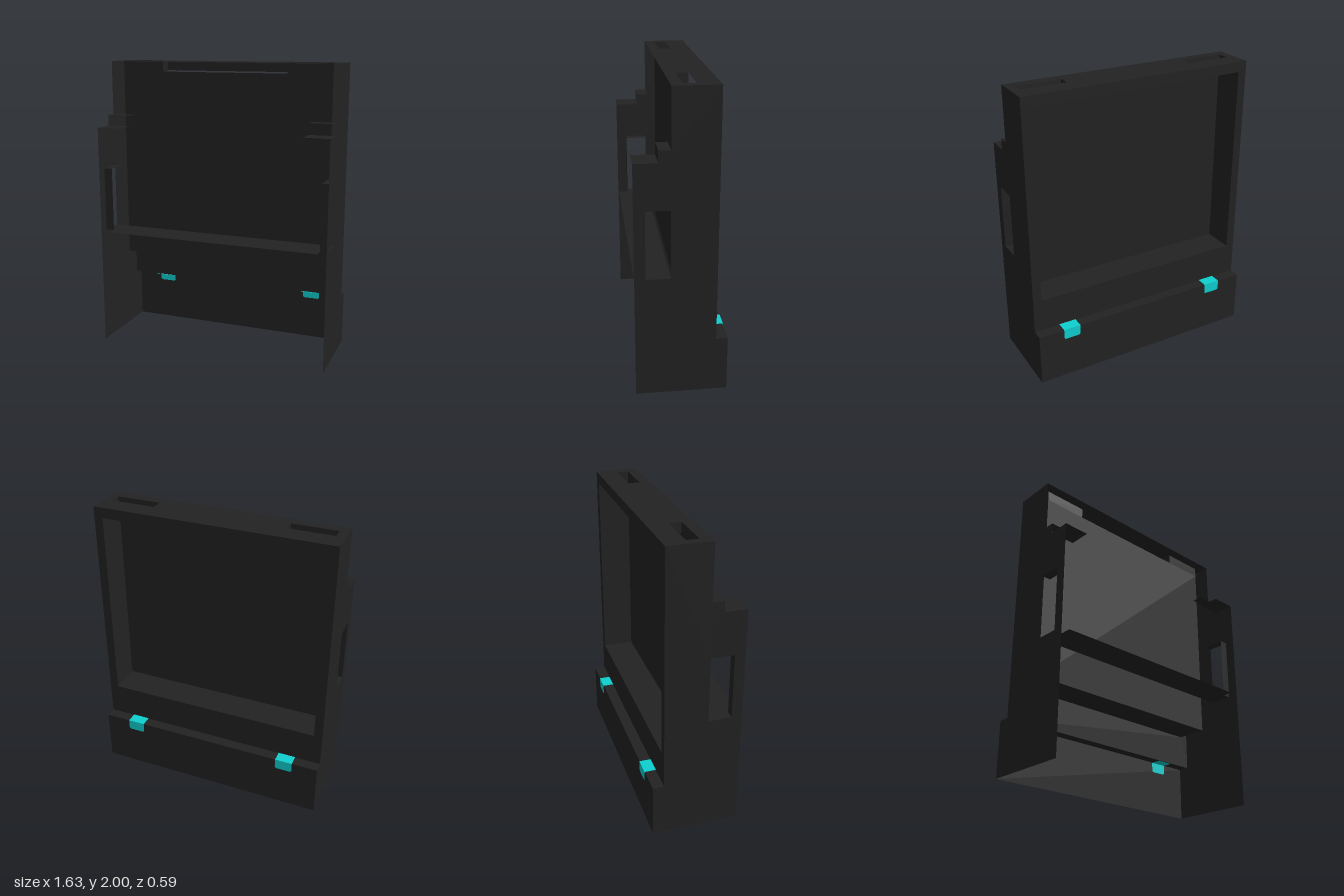
import * as THREE from 'three';

const shell = new THREE.MeshStandardMaterial({ color: 0x222222, side: THREE.DoubleSide });
shell.name = 'charcoal shell';
const accent = new THREE.MeshStandardMaterial({ color: 0x0fd0d0, side: THREE.DoubleSide });
accent.name = 'cyan clip';

const W = 0.815;  // half width of the shell
const R = 0.755;  // half width of the recess

// Closed outline from [a, b] points
const outline = (pts, Type = THREE.Shape) => new Type(pts.map(p => new THREE.Vector2(...p)));
const rect = (a0, a1, b0, b1, Type) => outline([[a0, b0], [a1, b0], [a1, b1], [a0, b1]], Type);

export function createModel() {
  const model = new THREE.Group();
  model.name = 'bezelShell';

  // Adds a flat sheet lying across the given axis at position "at".
  // Sheet coordinates: x axis -> (z, y), y axis -> (x, z), z axis -> (x, y)
  function sheet(name, axis, at, shape, material = shell, holes = []) {
    shape.holes.push(...holes);
    const geo = new THREE.ShapeGeometry(shape);
    if (axis === 'x') geo.rotateY(-Math.PI / 2);
    if (axis === 'y') geo.rotateX(Math.PI / 2);
    const mesh = new THREE.Mesh(geo, material);
    mesh.position[axis] = at;
    mesh.name = name;
    model.add(mesh);
  }

  // Top plate with two slots
  sheet('topPlate', 'y', 2, rect(-W, W, -0.22, 0.07), shell, [
    rect(-R, -0.45, -0.08, 0, THREE.Path), rect(0.45, R, -0.08, 0, THREE.Path)]);

  // Back frame around the recess, and the recessed panel
  sheet('backFrame', 'z', -0.22, rect(-W, W, 0.37, 2), shell, [rect(-R, R, 0.6, 1.93, THREE.Path)]);
  sheet('recessPanel', 'z', 0, rect(-R, R, 0.6, 1.93));
  sheet('recessFloor', 'y', 0.6, rect(-R, R, -0.22, 0));

  // Deeper skirt at the bottom of the back
  sheet('skirtLedge', 'y', 0.37, rect(-W, W, -0.295, -0.22));
  sheet('skirtBack', 'z', -0.295, rect(-W, W, 0, 0.37));

  // Shelf across the front
  sheet('frontShelf', 'y', 0.815, rect(-R, R, 0.07, 0.295));

  for (const [side, s] of [['left', 1], ['right', -1]]) {
    // Stepped side wall with a tall handle opening
    sheet(side + 'SideWall', 'x', s * W, outline([
      [-0.295, 0], [0.295, 0], [0.295, 1.555], [0.145, 1.555], [0.145, 1.63],
      [0.07, 1.63], [0.07, 2], [-0.22, 2], [-0.22, 0.37], [-0.295, 0.37]
    ]), shell, [rect(0.07, 0.225, 0.815, 1.26, THREE.Path)]);

    // Inner wall of the recess
    sheet(side + 'RecessWall', 'x', s * R, rect(-0.22, 0, 0.6, 2));

    // Walls hanging below the top slot
    sheet(side + 'SlotFront', 'z', 0, rect(s * 0.45, s * R, 1.93, 2));
    sheet(side + 'SlotEnd', 'x', s * 0.45, rect(-0.08, 0, 1.93, 2));

    // Lining of the handle opening
    sheet(side + 'HandleFront', 'z', 0.225, rect(s * R, s * W, 0.815, 1.26));
    for (const y of [0.815, 1.26])
      sheet(side + 'HandleLining', 'y', y, rect(s * R, s * W, 0.07, 0.225));

    // Shoulder flaps at the two steps
    sheet(side + 'LowerFlap', 'y', 1.555, rect(s * 0.64, s * W, 0.145, 0.295));
    sheet(side + 'UpperFlap', 'y', 1.63, rect(s * 0.64, s * W, 0.07, 0.145));

    // Clip wrapped over the skirt edge, showing inside and outside
    const a = s * 0.575 - 0.061, b = s * 0.575 + 0.061;
    for (const d of [-0.003, 0.003]) {
      sheet(side + 'ClipTop', 'y', 0.37 + d, rect(a, b, -0.298, -0.22), accent);
      sheet(side + 'ClipTab', 'z', -0.295 + d, outline([
        [a, 0.373], [a, 0.308], [a + 0.01, 0.298], [b - 0.01, 0.298], [b, 0.308], [b, 0.373]
      ]), accent);
    }
  }
  return model;
}
